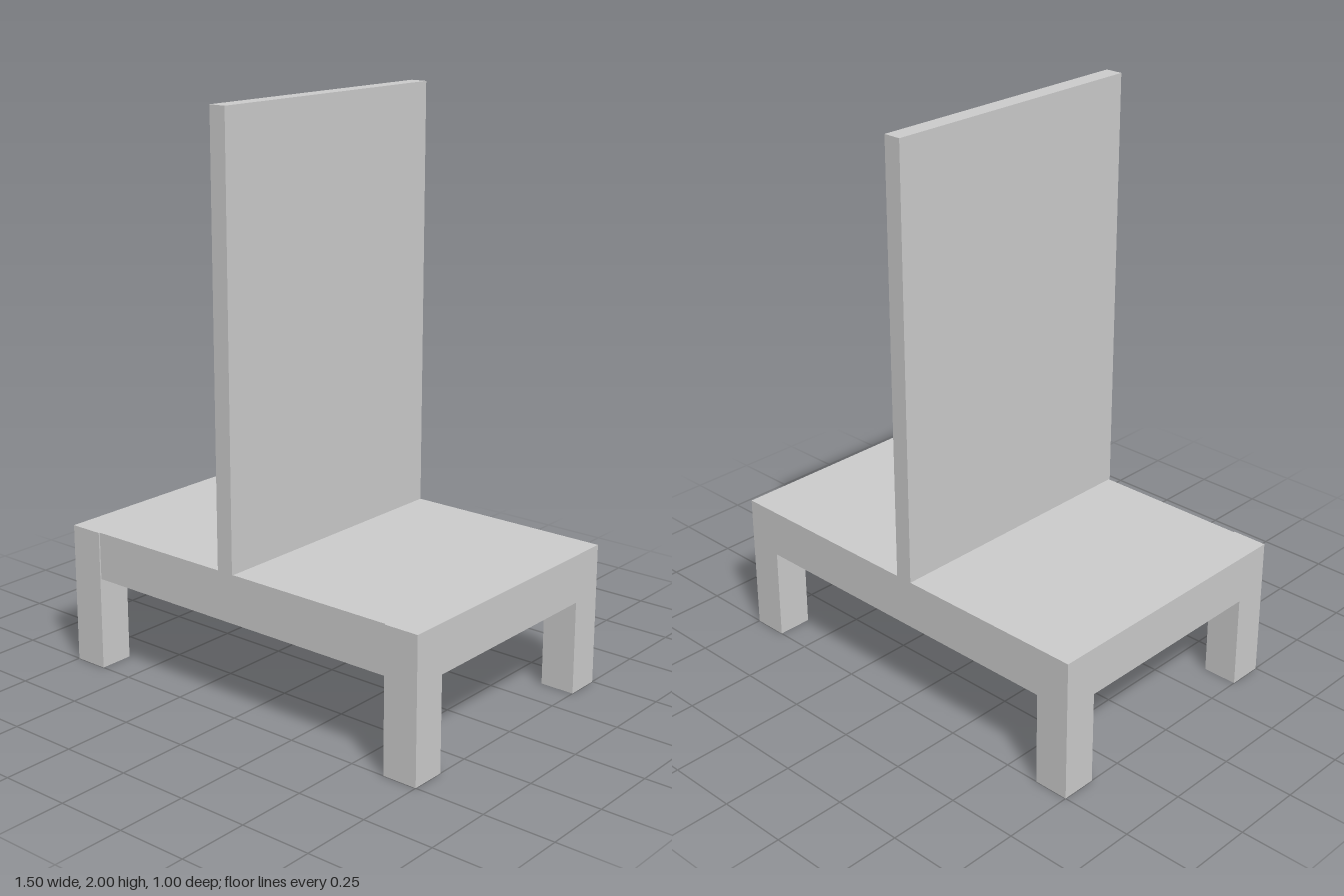
import * as THREE from 'three';

export function createModel() {
  const model = new THREE.Group();
  const material = new THREE.MeshStandardMaterial({ color: 0xcccccc, flatShading: true });

  // Box given by its lower and upper corners
  function addBox(name, [x0, y0, z0], [x1, y1, z1]) {
    const geometry = new THREE.BoxGeometry(x1 - x0, y1 - y0, z1 - z0);
    const mesh = new THREE.Mesh(geometry, material);
    mesh.position.set((x0 + x1) / 2, (y0 + y1) / 2, (z0 + z1) / 2);
    mesh.name = name;
    model.add(mesh);
  }

  const halfWidth = 0.75, halfDepth = 0.5, seatTop = 0.5, seatBottom = 0.33;
  const leg = 0.125, recess = 0.005;

  // Seat slab fits between the corner posts, its front edge set back slightly
  const innerX = halfWidth - leg, innerZ = halfDepth - leg;
  addBox('seat', [-innerX, seatBottom, -halfDepth], [innerX, seatTop, halfDepth - recess]);

  // Seat ends and corner legs that rise to the seat top
  for (const side of [-1, 1]) {
    const x0 = side < 0 ? -halfWidth : innerX;
    const sideName = side < 0 ? 'right' : 'left';
    addBox(sideName + 'SeatEnd', [x0, seatBottom, -innerZ], [x0 + leg, seatTop, innerZ]);
    addBox(sideName + 'FrontLeg', [x0, 0, innerZ], [x0 + leg, seatTop, halfDepth]);
    addBox(sideName + 'BackLeg', [x0, 0, -halfDepth], [x0 + leg, seatTop, -innerZ]);
  }

  // Upright panel dividing the seat, just right of the middle
  addBox('backPanel', [-0.0625, seatTop, -halfDepth], [0, 2, halfDepth]);

  return model;
}
